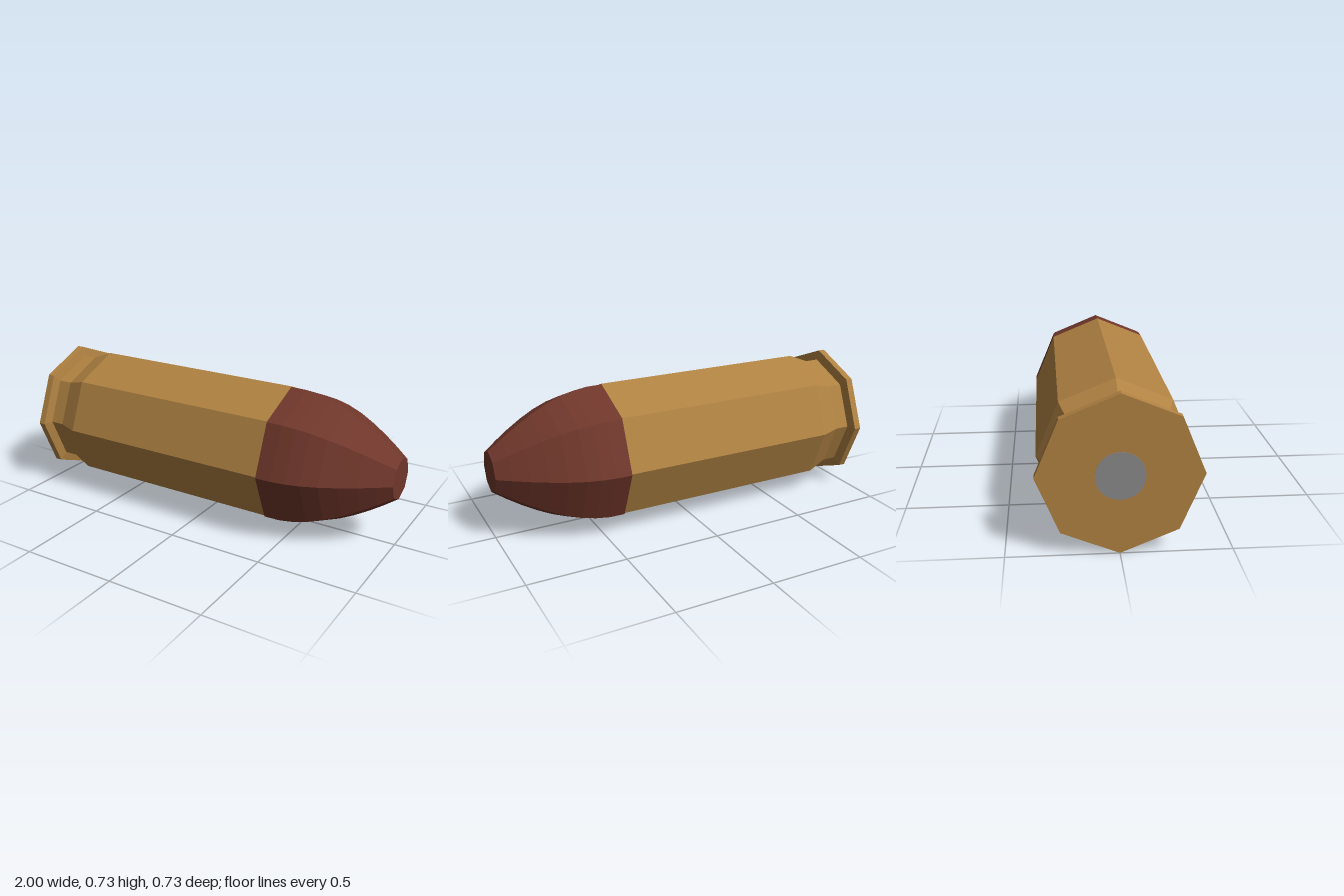
import * as THREE from 'three';

const BRASS = 0xb08242;
const COPPER = 0x70372b;
const STEEL = 0x8a8a8a;

// Turned part lying along x; profile points are [x, radius] from back to tip
function turned(name, profile, color, centreY, sides = 8) {
  const points = profile.map(([x, r]) => new THREE.Vector2(r, x));
  const geometry = new THREE.LatheGeometry(points, sides);
  geometry.rotateZ(-Math.PI / 2);
  const mesh = new THREE.Mesh(
    geometry,
    new THREE.MeshStandardMaterial({ color, flatShading: true })
  );
  mesh.name = name;
  mesh.position.y = centreY;
  return mesh;
}

export function createModel() {
  const group = new THREE.Group();
  group.name = 'cartridge';

  // Brass case: rim, extractor groove, taper and straight body
  group.add(turned('case', [
    [-1, 0], [-1, 0.366], [-0.963, 0.366], [-0.953, 0.313],
    [-0.877, 0.313], [-0.76, 0.359], [0.4, 0.359], [0.4, 0],
  ], BRASS, 0.367));

  // Copper bullet with a curved nose and a flat tip
  group.add(turned('bullet', [
    [0.4, 0], [0.4, 0.36], [0.48, 0.359], [0.55, 0.349], [0.62, 0.331],
    [0.7, 0.299], [0.78, 0.257], [0.86, 0.208], [0.93, 0.16], [1, 0.108], [1, 0],
  ], COPPER, 0.3625));

  // Round primer set in the middle of the case head
  group.add(turned('primer', [
    [-1.002, 0], [-1.002, 0.11], [-0.98, 0.11],
  ], STEEL, 0.367, 24));

  return group;
}
